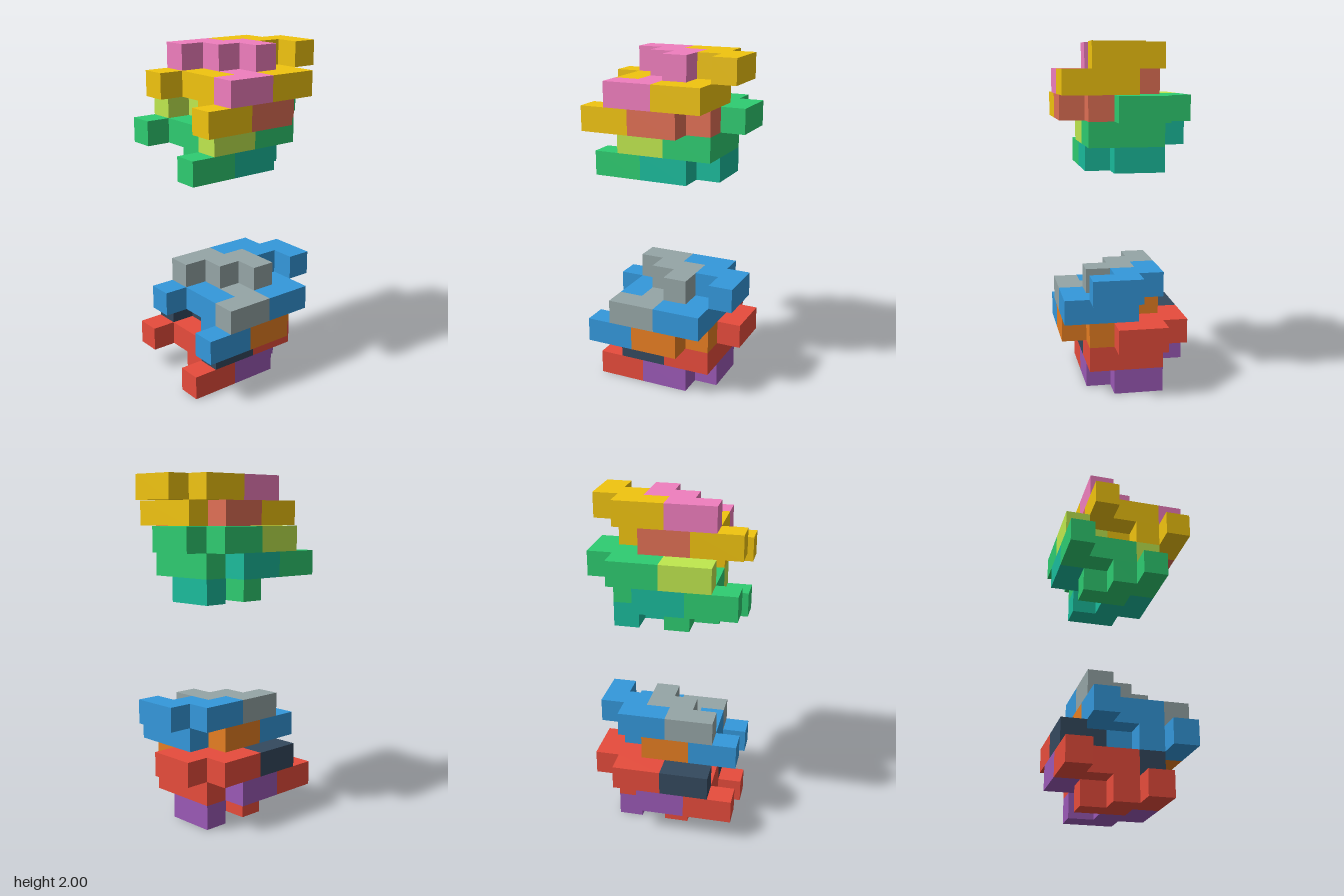
import * as THREE from 'three';

const CELL = 1 / 7; // the model is fourteen cells high

// Plan outlines (x, z) in cells, centred on a four-piece unit
const STAIR = [[-2, -2], [0, -2], [0, -1], [1, -1], [1, 1], [0, 1], [0, 0], [-1, 0], [-1, -1], [-2, -1]];
const HOOK = [[-2, 1], [-1, 1], [-1, -1], [0, -1], [0, 2], [-2, 2]];

// One-cell-thick slab from a plan outline, with its top at the given height
function slab(name, outline, top, material) {
  const shape = new THREE.Shape(outline.map(([x, z]) => new THREE.Vector2(x, z)));
  const geometry = new THREE.ExtrudeGeometry(shape, { depth: 1, bevelEnabled: false });
  geometry.rotateX(Math.PI / 2).translate(0, top, 0);
  const mesh = new THREE.Mesh(geometry, material);
  mesh.name = name;
  return mesh;
}

// Nine-cell piece: a stair slab on top of a hook slab
function piece(name, color, x, flipped) {
  const material = new THREE.MeshStandardMaterial({ color });
  const group = new THREE.Group();
  group.name = name;
  group.add(slab('stairSlab', STAIR, 1.5, material), slab('hookSlab', HOOK, 0.5, material));
  group.position.x = x;
  if (flipped) group.rotation.x = Math.PI;
  return group;
}

// Four interlocking pieces: two upright, two turned over
function unit(name, [first, middle, last], y, z) {
  const group = new THREE.Group();
  group.name = name;
  group.add(
    piece('uprightPieceRight', first, 0, false),
    piece('uprightPieceLeft', middle, 2, false),
    piece('flippedPieceRight', middle, -1, true),
    piece('flippedPieceLeft', last, 1, true)
  );
  group.position.set(0, y, z);
  return group;
}

// Two units stacked and nested in each other
function stack(name, upperColors, lowerColors, y) {
  const group = new THREE.Group();
  group.name = name;
  group.add(unit('upperUnit', upperColors, 3.5, 0.5), unit('lowerUnit', lowerColors, 1.5, -0.5));
  group.position.y = y;
  return group;
}

export function createModel() {
  const model = new THREE.Group();
  model.name = 'interlockingBlocks';
  model.add(
    stack('lowerStack', [0x95a5a6, 0x3498db, 0xe67e22], [0x34495e, 0xe74c3c, 0x9b59b6], 0),
    stack('upperStack', [0xf07ebe, 0xf1c40f, 0xe17055], [0xbfe84e, 0x2ecc71, 0x1abc9c], 9)
  );
  model.scale.setScalar(CELL);
  return model;
}
